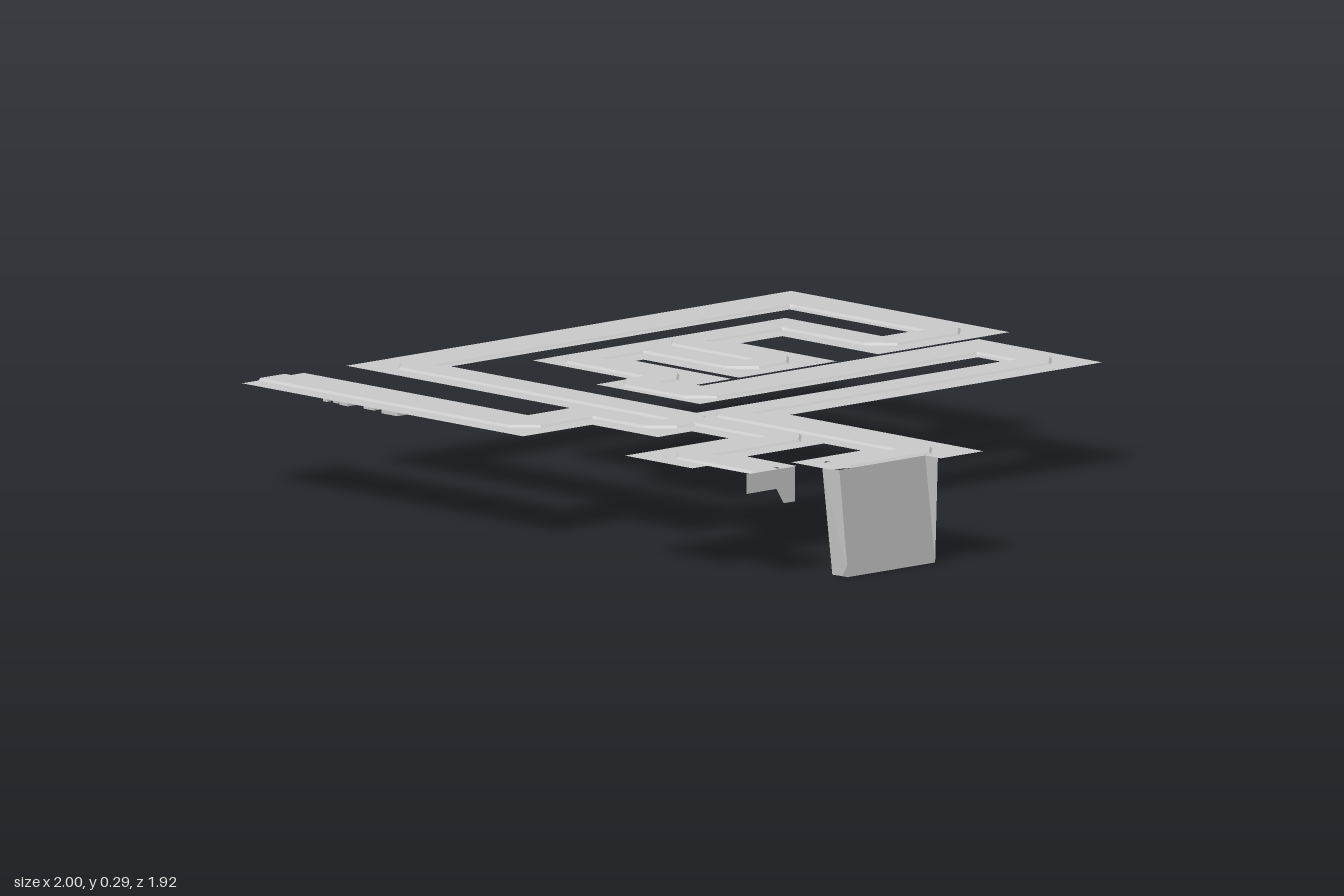
import * as THREE from 'three';

const SHEET_Y = 0.281, LANE_Y = 0.287;

const mat = new THREE.MeshStandardMaterial({ color: 0xcccccc, flatShading: true, side: THREE.DoubleSide });

function addMesh(parent, name, geometry) {
  const mesh = new THREE.Mesh(geometry, mat);
  mesh.name = name;
  parent.add(mesh);
  return mesh;
}

// Thin panel from corners in order, fanned from the first
function panel(corners) {
  const pos = [];
  for (let i = 1; i < corners.length - 1; i++) pos.push(...corners[0], ...corners[i], ...corners[i + 1]);
  const g = new THREE.BufferGeometry();
  g.setAttribute('position', new THREE.Float32BufferAttribute(pos, 3));
  g.computeVertexNormals();
  return g;
}

// Cut each corner of a path at 45 degrees
function chamfer(points, cut) {
  const p = points.map(([x, z]) => new THREE.Vector2(x, z));
  const out = [p[0]];
  for (let i = 1; i < p.length - 1; i++) {
    for (const q of [p[i - 1], p[i + 1]]) {
      out.push(p[i].clone().add(q.clone().sub(p[i]).setLength(cut)));
    }
  }
  out.push(p[p.length - 1]);
  return out;
}

// Raised lane: a low trapezoid swept along a mitred path
function lane(points) {
  const p = chamfer(points, 0.032);
  const section = [[0.049, SHEET_Y], [0.043, LANE_Y], [-0.043, LANE_Y], [-0.049, SHEET_Y]];
  const pos = [], index = [];
  p.forEach((c, i) => {
    const a = c.clone().sub(p[Math.max(i - 1, 0)]).normalize();
    const b = p[Math.min(i + 1, p.length - 1)].clone().sub(c).normalize();
    const t = a.clone().add(b).normalize();
    const stretch = 1 / Math.max(t.dot(i ? a : b), 0.5);
    for (const [d, y] of section) pos.push(c.x + t.y * d * stretch, y, c.y - t.x * d * stretch);
    if (i === 0) return;
    for (let k = 0; k < 3; k++) {
      const m = (i - 1) * 4 + k, n = m + 4;
      index.push(m, n, m + 1, m + 1, n, n + 1);
    }
  });
  const g = new THREE.BufferGeometry();
  g.setAttribute('position', new THREE.Float32BufferAttribute(pos, 3));
  g.setIndex(index);
  g.computeVertexNormals();
  return g;
}

export function createModel() {
  const group = new THREE.Group();
  group.name = 'windingTrack';

  // Flat verge sheet: outer outline and the enclosed opening, as x, z
  const outline = [
    [-1, -0.965], [-0.19, -0.965], [-0.19, -0.505], [-0.545, -0.505], [-0.545, -0.36], [-0.19, -0.36],
    [-0.19, -0.018], [-0.545, -0.018], [-0.545, 0.008], [-0.19, 0.008], [-0.19, 0.13], [-0.172, 0.13],
    [-0.172, -0.84], [0.285, -0.84], [0.285, 0.25], [1, 0.25], [1, 0.4], [0.943, 0.4],
    [0.943, 0.66], [0.925, 0.715], [0.78, 0.715], [0.78, 0.47], [0.642, 0.47], [0.642, 0.74],
    [0.828, 0.74], [0.828, 0.905], [0.67, 0.905], [0.67, 0.957], [0.42, 0.957], [0.42, 0.595],
    [0.285, 0.595], [0.285, 0.715], [0.042, 0.715], [0.042, 0.957], [-1, 0.957], [-1, 0.74],
    [-0.17, 0.74], [-0.17, 0.592], [-1, 0.592],
  ];
  const opening = [
    [-0.81, -0.78], [-0.37, -0.78], [-0.37, -0.69], [-0.73, -0.69], [-0.73, 0.195], [-0.37, 0.195],
    [-0.37, 0.313], [0.015, 0.313], [0.015, -0.66], [0.1, -0.66], [0.1, 0.405], [-0.81, 0.405],
  ];
  const toShape = (pts) => pts.map(([x, z]) => new THREE.Vector2(x, -z));
  const shape = new THREE.Shape(toShape(outline));
  shape.holes.push(new THREE.Path(toShape(opening)));
  const sheet = new THREE.ShapeGeometry(shape);
  sheet.rotateX(-Math.PI / 2);
  sheet.translate(0, SHEET_Y, 0);
  addMesh(group, 'verge', sheet);

  // Raised lanes along the middle of the verge
  addMesh(group, 'mainLane', lane([
    [-1, 0.85], [-0.065, 0.85], [-0.065, 0.605], [0.18, 0.605], [0.18, 0.485], [-0.88, 0.485],
    [-0.88, -0.855], [-0.295, -0.855], [-0.295, -0.615], [-0.655, -0.615], [-0.655, -0.255], [-0.295, -0.255],
    [-0.295, -0.13], [-0.655, -0.13], [-0.655, 0.115], [-0.31, 0.115], [-0.31, 0.238], [-0.06, 0.238],
    [-0.06, -0.735], [0.17, -0.735], [0.17, 0.365], [0.892, 0.365], [0.892, 0.66],
  ]));
  addMesh(group, 'branchLane', lane([[0.18, 0.485], [0.535, 0.485], [0.535, 0.85], [0.828, 0.85]]));

  // Drop walls under the right-hand end
  const drop = new THREE.Group();
  drop.name = 'dropWalls';
  group.add(drop);
  const T = SHEET_Y;
  addMesh(drop, 'sideWall', panel([[0.943, T, 0.4], [0.943, T, 0.7], [0.943, 0, 0.67], [0.943, 0, 0.365]]));
  addMesh(drop, 'frontWall', panel([[0.89, T, 0.71], [0.943, T, 0.7], [0.943, 0, 0.67], [0.89, 0, 0.675]]));
  addMesh(drop, 'wingWall', panel([[0.943, T, 0.4], [0.943, 0, 0.365], [0.99, T, 0.4]]));
  addMesh(drop, 'foot', panel([[0.943, 0.03, 0.673], [0.943, 0.005, 0.69], [0.943, 0, 0.665]]));

  // Stepped end flap below the branch
  const x = 0.826;
  addMesh(group, 'endFlap', panel([
    [x, T, 0.745], [x, 0.19, 0.745], [x, 0.19, 0.785], [x, 0.23, 0.81], [x, 0.23, 0.915], [x, T, 0.915],
  ]));

  // Small blocks hanging under the entry lane: x, width, z, depth
  for (const [bx, w, z, d] of [
    [-0.79, 0.015, 0.835, 0.06], [-0.755, 0.02, 0.835, 0.05], [-0.715, 0.03, 0.84, 0.06],
    [-0.63, 0.04, 0.84, 0.045], [-0.54, 0.06, 0.845, 0.06],
  ]) {
    const block = addMesh(group, 'hangingBlock', new THREE.BoxGeometry(w, 0.036, d));
    block.position.set(bx, 0.268, z);
  }
  return group;
}
